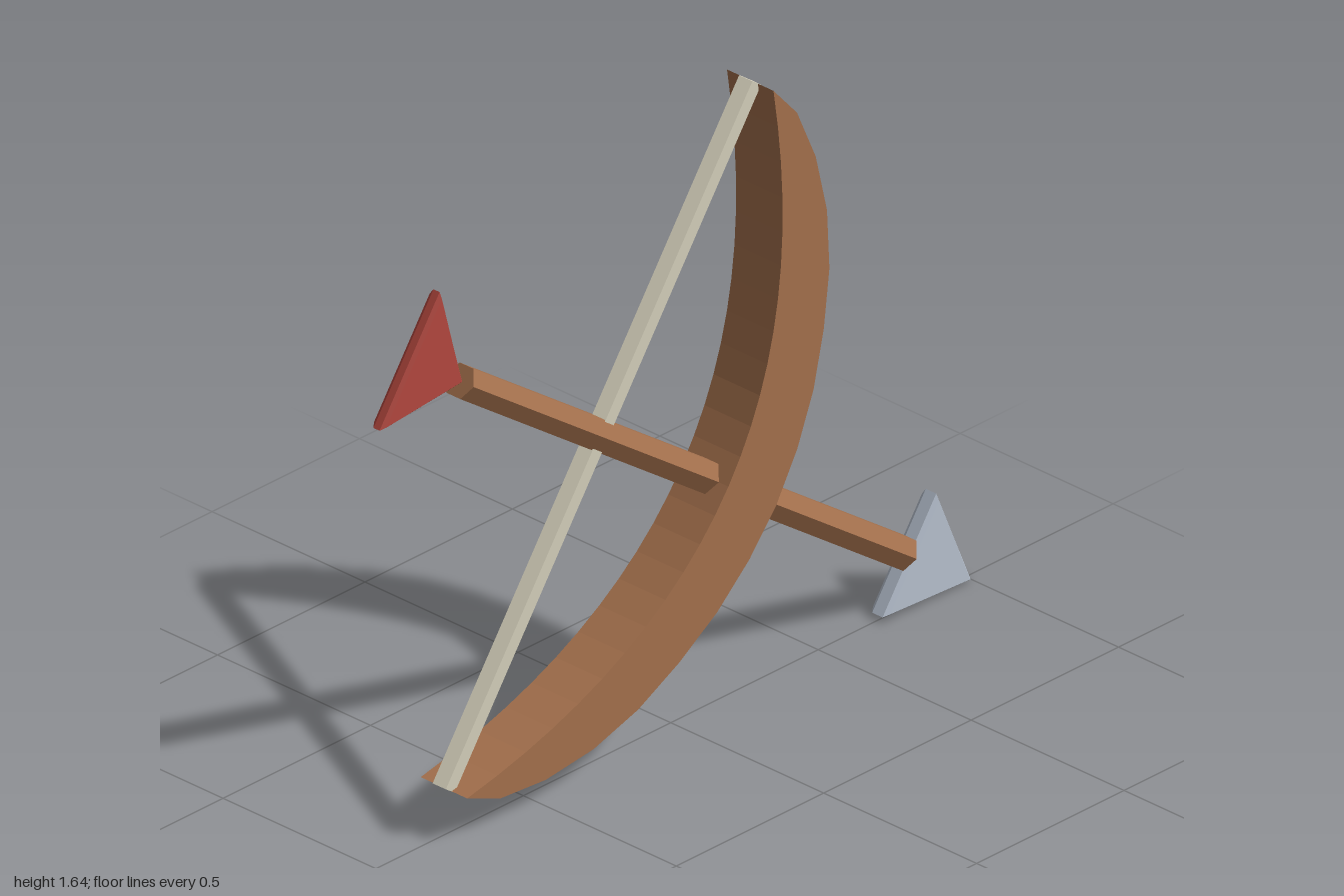
import * as THREE from 'three';

const material = (name, color) => {
  const m = new THREE.MeshStandardMaterial({ color });
  m.name = name;
  return m;
};

const add = (group, name, geometry, mat) => {
  const mesh = new THREE.Mesh(geometry, mat);
  mesh.name = name;
  group.add(mesh);
  return mesh;
};

// Flat outline extruded symmetrically about z = 0, with an optional inward bevel
function plate(points, thickness, bevel = 0) {
  const shape = new THREE.Shape(points.map(([x, y]) => new THREE.Vector2(x, y)));
  const depth = thickness - 2 * bevel;
  const geometry = new THREE.ExtrudeGeometry(shape, {
    depth,
    bevelEnabled: bevel > 0,
    bevelThickness: bevel,
    bevelSize: bevel,
    bevelOffset: -bevel,
    bevelSegments: 1,
  });
  return geometry.translate(0, 0, -depth / 2);
}

// Faceted rod along y
const rod = (radius, length, sides) =>
  new THREE.CylinderGeometry(radius, radius, length, sides).toNonIndexed();

export function createModel() {
  const wood = material('wood', 0xa5714d);
  const steel = material('steel', 0xb8c2d0);
  const red = material('red feather', 0xb5483f);
  const cord = material('cord', 0xd6d1bc);
  for (const m of [wood, steel, red, cord]) m.flatShading = true;

  // Local frame: arrow points along +x, string runs along y
  const weapon = new THREE.Group();
  weapon.name = 'bowAndArrow';
  weapon.position.set(-0.25, 0.877, 0);
  weapon.rotation.z = -0.609;

  // Bow: crescent with a faceted belly and back, mirrored about the arrow
  const half = [[0, 0.908], [0.117, 0.88], [0.25, 0.8], [0.372, 0.692], [0.47, 0.566],
    [0.543, 0.428], [0.6, 0.285], [0.633, 0.142]];
  const outer = [...half, [0.645, 0], ...half.map(([x, y]) => [x, -y]).reverse()];
  const inner = [];
  for (let i = 1; i < 24; i++) {
    const t = -1 + i / 12;
    inner.push([0.447 * (1 - t * t), 0.908 * t]);
  }
  add(weapon, 'bow', plate([...outer, ...inner], 0.152), wood);

  // String: five-sided rod with a ridge at the back
  const string = add(weapon, 'bowString', rod(0.031, 1.817, 5), cord);
  string.rotation.y = Math.PI;
  string.position.x = -0.005;

  // Arrow shaft: hexagonal rod through the bow
  const shaft = add(weapon, 'arrowShaft', rod(0.045, 1.832, 6).rotateZ(-Math.PI / 2), wood);
  shaft.position.x = 0.349;

  // Arrowhead and tail feather: bevelled triangles
  add(weapon, 'arrowHead',
    plate([[1.27, -0.159], [1.523, 0], [1.27, 0.159]], 0.056, 0.011), steel);
  add(weapon, 'tailFeather',
    plate([[-0.788, -0.178], [-0.57, 0], [-0.788, 0.178]], 0.04, 0.01), red);

  const model = new THREE.Group();
  model.name = 'model';
  model.add(weapon);
  return model;
}
